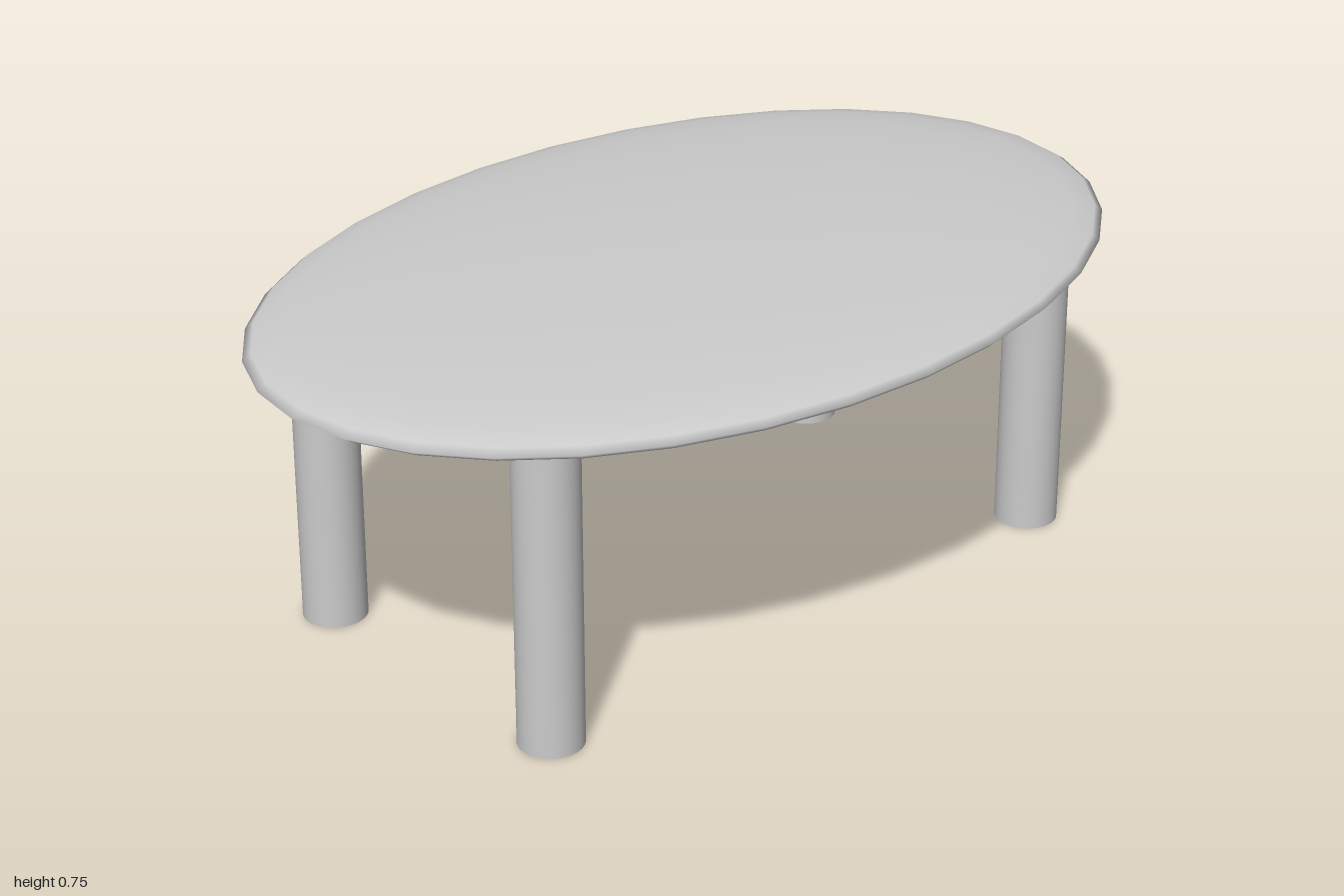
import * as THREE from 'three';

export function createModel() {
  const table = new THREE.Group();
  table.name = 'ovalTable';
  const material = new THREE.MeshStandardMaterial({ color: 0xcccccc });

  // Table top: a sphere flattened into a thin oval lens
  const topGeometry = new THREE.SphereGeometry(1, 32, 16);
  topGeometry.scale(0.672, 0.067, 1);
  const top = new THREE.Mesh(topGeometry, material);
  top.name = 'tableTop';
  top.position.y = 0.68;
  table.add(top);

  // Four round legs, their upper ends sunk into the top
  const legHeight = 0.675;
  const legGeometry = new THREE.CylinderGeometry(0.067, 0.067, legHeight, 32);
  for (const [zSide, zName] of [[1, 'front'], [-1, 'back']]) {
    for (const [xSide, xName] of [[1, 'Left'], [-1, 'Right']]) {
      const leg = new THREE.Mesh(legGeometry, material);
      leg.name = `${zName}${xName}Leg`;
      leg.position.set(xSide * 0.338, legHeight / 2, zSide * 0.675);
      table.add(leg);
    }
  }
  return table;
}
